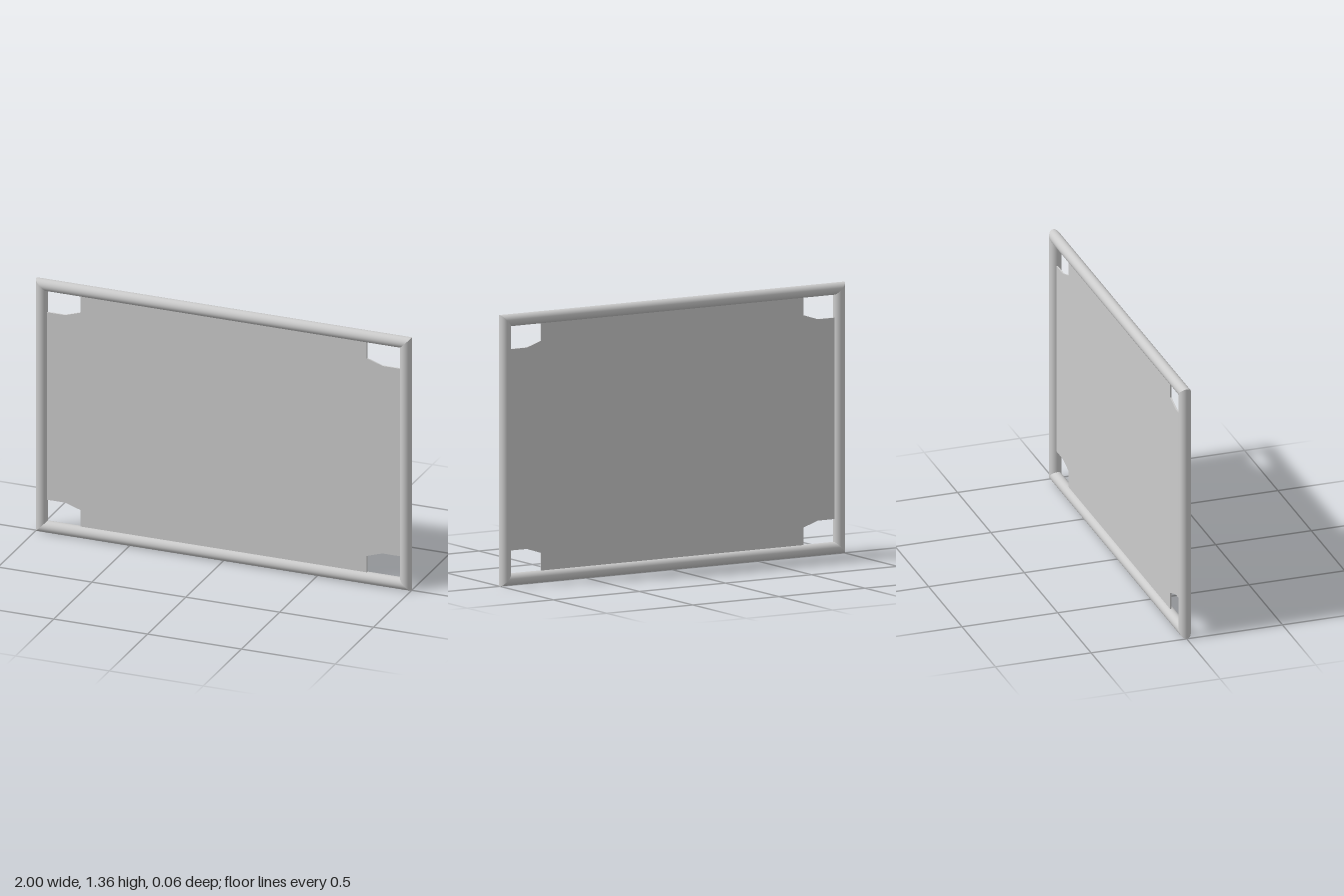
import * as THREE from 'three';

const R = 0.03;              // rail radius
const W = 1.0, H = 1.355;    // half width, full height
const CX = W - R, CY = H / 2 - R; // rail centre lines, from the middle

// Round rail along y with both ends cut at 45 degrees; +x is the outer side
function mitredRail(halfLength) {
  const g = new THREE.CylinderGeometry(R, R, 2 * halfLength, 32, 1, true);
  const p = g.attributes.position;
  for (let i = 0; i < p.count; i++) {
    p.setY(i, p.getY(i) + Math.sign(p.getY(i)) * p.getX(i));
  }
  return g;
}

export function createModel() {
  const model = new THREE.Group();
  const mat = new THREE.MeshStandardMaterial({ color: 0xcccccc });

  // Four rails, turned a quarter each
  const frame = new THREE.Group();
  frame.name = 'frame';
  ['leftRail', 'topRail', 'rightRail', 'bottomRail'].forEach((name, i) => {
    const a = i * Math.PI / 2, upright = i % 2 === 0;
    const rail = new THREE.Mesh(mitredRail(upright ? CY : CX), mat);
    rail.name = name;
    rail.rotation.z = a;
    rail.position.set(Math.cos(a) * CX, Math.sin(a) * CY, 0);
    frame.add(rail);
  });

  // Thin panel, its edges set into the rails, with a notch at each corner
  const notch = [[CX, 0.503], [0.845, 0.503], [0.762, 0.53], [0.762, CY]];
  const outline = [];
  for (const [sx, sy] of [[1, 1], [-1, 1], [-1, -1], [1, -1]]) {
    const pts = notch.map(([x, y]) => new THREE.Vector2(sx * x, sy * y));
    outline.push(...(sx * sy > 0 ? pts : pts.reverse()));
  }
  const T = 0.008;
  const panelGeo = new THREE.ExtrudeGeometry(new THREE.Shape(outline), { depth: T, bevelEnabled: false });
  panelGeo.translate(0, 0, -T / 2);
  const panel = new THREE.Mesh(panelGeo, mat);
  panel.name = 'panel';

  model.add(frame, panel);
  frame.position.y = panel.position.y = H / 2;
  return model;
}
